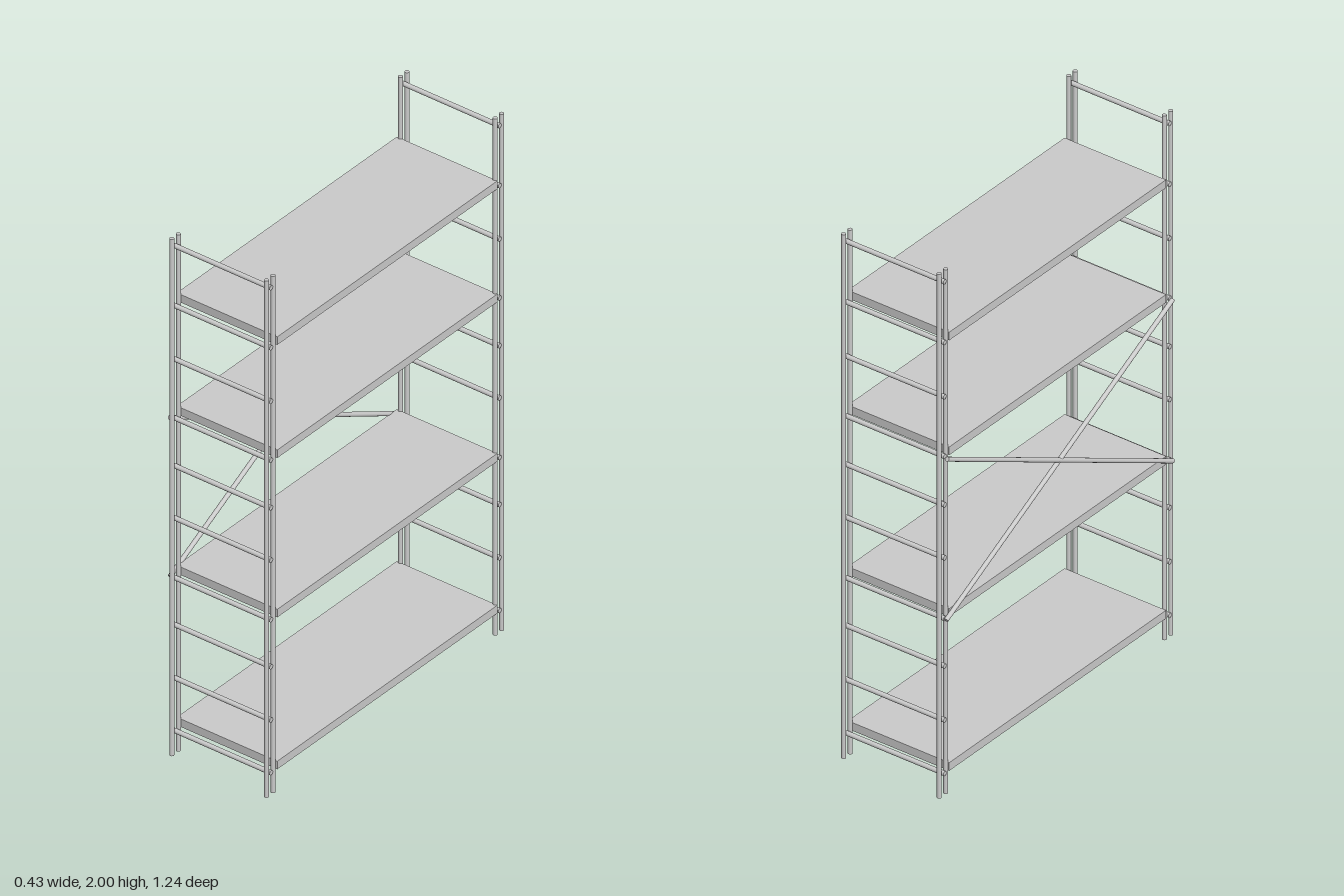
import * as THREE from 'three';

const UP = new THREE.Vector3(0, 1, 0);

export function createModel() {
  const group = new THREE.Group();
  const material = new THREE.MeshStandardMaterial({ color: 0xcccccc });

  // Round bar between two points
  function rod(name, from, to, radius) {
    const a = new THREE.Vector3(...from), b = new THREE.Vector3(...to);
    const dir = b.clone().sub(a);
    const mesh = new THREE.Mesh(new THREE.CylinderGeometry(radius, radius, dir.length(), 20), material);
    mesh.name = name;
    mesh.position.copy(a).add(b).multiplyScalar(0.5);
    mesh.quaternion.setFromUnitVectors(UP, dir.normalize());
    group.add(mesh);
  }

  const postX = [-0.185, 0.202];
  const rungY = [0.085, 0.289, 0.495, 0.677, 0.908, 1.11, 1.295, 1.523, 1.73, 1.962];

  // Two end ladders: paired posts with rungs held between them
  for (const side of [-1, 1]) {
    for (const x of postX)
      for (const z of [0.577, 0.611])
        rod('post', [x, 0, side * z], [x, 2, side * z], 0.008);
    for (const y of rungY)
      rod('rung', [-0.195, y, side * 0.594], [0.208, y, side * 0.594], 0.0085);
  }

  // Shelves resting at rung height
  for (const y of [0.103, 0.691, 1.308, 1.746]) {
    const shelf = new THREE.Mesh(new THREE.BoxGeometry(0.411, 0.031, 1.144), material);
    shelf.name = 'shelf';
    shelf.position.set(0.0075, y, -0.003);
    group.add(shelf);
  }

  // Crossed diagonal braces on one long side
  rod('brace', [-0.207, 1.292, -0.598], [-0.203, 0.676, 0.598], 0.008);
  rod('brace', [-0.203, 1.292, 0.598], [-0.203, 0.676, -0.598], 0.008);

  return group;
}
